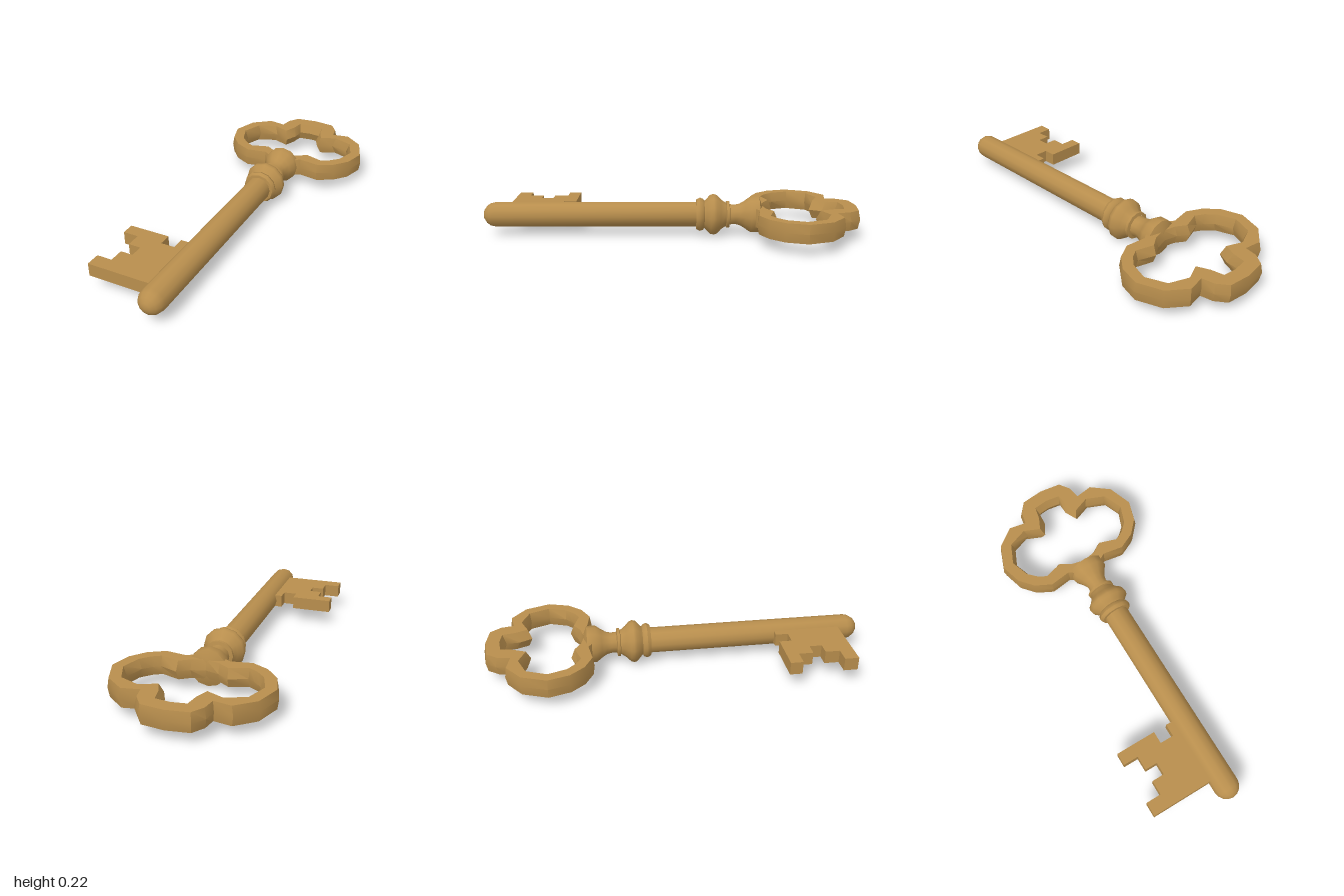
import * as THREE from 'three';
import { toCreasedNormals } from 'three/addons/utils/BufferGeometryUtils.js';

const AXIS_Y = 0.112;

// Turned part around the z axis, from [z, radius] pairs listed front to back
function turned(profile) {
  const points = profile.map(([z, r]) => new THREE.Vector2(r, z)).reverse();
  const geometry = new THREE.LatheGeometry(points, 12);
  geometry.rotateX(Math.PI / 2);
  geometry.translate(0, AXIS_Y, 0);
  return toCreasedNormals(geometry, 0.8);
}

// Trefoil frame: paired outer and inner outlines, swept with bulging walls
function bowGeometry() {
  // Right half, back to front: outer x, outer z, inner x, inner z
  const half = [
    [0, -1, 0, -0.92], [0.12, -0.985, 0.075, -0.91], [0.165, -0.93, 0.087, -0.845],
    [0.175, -0.865, 0.115, -0.78], [0.265, -0.878, 0.2, -0.815], [0.36, -0.8, 0.3, -0.775],
    [0.407, -0.67, 0.343, -0.67], [0.375, -0.56, 0.31, -0.575], [0.31, -0.485, 0.265, -0.53],
    [0.22, -0.44, 0.22, -0.505], [0.11, -0.455, 0.125, -0.535], [0.07, -0.43, 0.07, -0.5],
    [0, -0.43, 0, -0.485],
  ];
  const mirrored = half.slice(1, -1).reverse().map(([a, b, c, d]) => [-a, b, -c, d]);
  const loop = [...half, ...mirrored];
  const n = loop.length;
  // Cross-section: blend from outer (0) to inner (1), height
  const section = [[0.12, 0.049], [0, 0], [0.12, -0.049], [1, -0.049], [1.25, 0], [1, 0.049]];
  const positions = [];
  const index = [];
  section.forEach(([t, h], k) => {
    loop.forEach(([ox, oz, ix, iz], i) => {
      positions.push(ox + (ix - ox) * t, AXIS_Y + h, oz + (iz - oz) * t);
      const j = (i + 1) % n;
      const a = k * n;
      const b = ((k + 1) % section.length) * n;
      index.push(a + i, a + j, b + i, a + j, b + j, b + i);
    });
  });
  const geometry = new THREE.BufferGeometry();
  geometry.setAttribute('position', new THREE.Float32BufferAttribute(positions, 3));
  geometry.setIndex(index);
  geometry.computeVertexNormals();
  return toCreasedNormals(geometry, 0.65);
}

// Flat toothed plate
function bitGeometry() {
  const outline = [
    [0, 0.525], [-0.098, 0.525], [-0.098, 0.59], [-0.17, 0.59], [-0.17, 0.525],
    [-0.385, 0.525], [-0.385, 0.59], [-0.305, 0.59], [-0.305, 0.665], [-0.24, 0.665],
    [-0.24, 0.73], [-0.305, 0.73], [-0.305, 0.805], [-0.385, 0.805], [-0.385, 0.878], [0, 0.878],
  ];
  const shape = new THREE.Shape(outline.map(([x, z]) => new THREE.Vector2(x, z)));
  const geometry = new THREE.ExtrudeGeometry(shape, { depth: 0.068, bevelEnabled: false });
  geometry.rotateX(Math.PI / 2);
  geometry.translate(0, AXIS_Y + 0.034, 0);
  return geometry;
}

export function createModel() {
  const brass = new THREE.MeshStandardMaterial({ color: 0xb88e4d });
  brass.name = 'brass';
  const group = new THREE.Group();
  group.name = 'key';
  const add = (name, geometry) => {
    const mesh = new THREE.Mesh(geometry, brass);
    mesh.name = name;
    group.add(mesh);
  };

  // Round shaft with a domed tip
  add('shaft', turned([
    [1, 0], [0.995, 0.025], [0.98, 0.047], [0.96, 0.061], [0.935, 0.067], [-0.15, 0.067],
  ]));

  // Beaded collar
  add('collar', turned([
    [-0.135, 0.06], [-0.137, 0.082], [-0.155, 0.092], [-0.172, 0.086], [-0.18, 0.075],
    [-0.19, 0.084], [-0.212, 0.108], [-0.228, 0.112], [-0.245, 0.106], [-0.265, 0.085],
    [-0.285, 0.07], [-0.295, 0.064], [-0.298, 0.074], [-0.312, 0.074], [-0.316, 0.056],
  ]));

  // Flared neck that joins the frame
  add('neck', turned([
    [-0.31, 0.056], [-0.345, 0.054], [-0.37, 0.06], [-0.395, 0.075], [-0.425, 0.097],
    [-0.47, 0.097], [-0.488, 0.052], [-0.492, 0],
  ]));

  add('bow', bowGeometry());
  add('bit', bitGeometry());
  return group;
}
